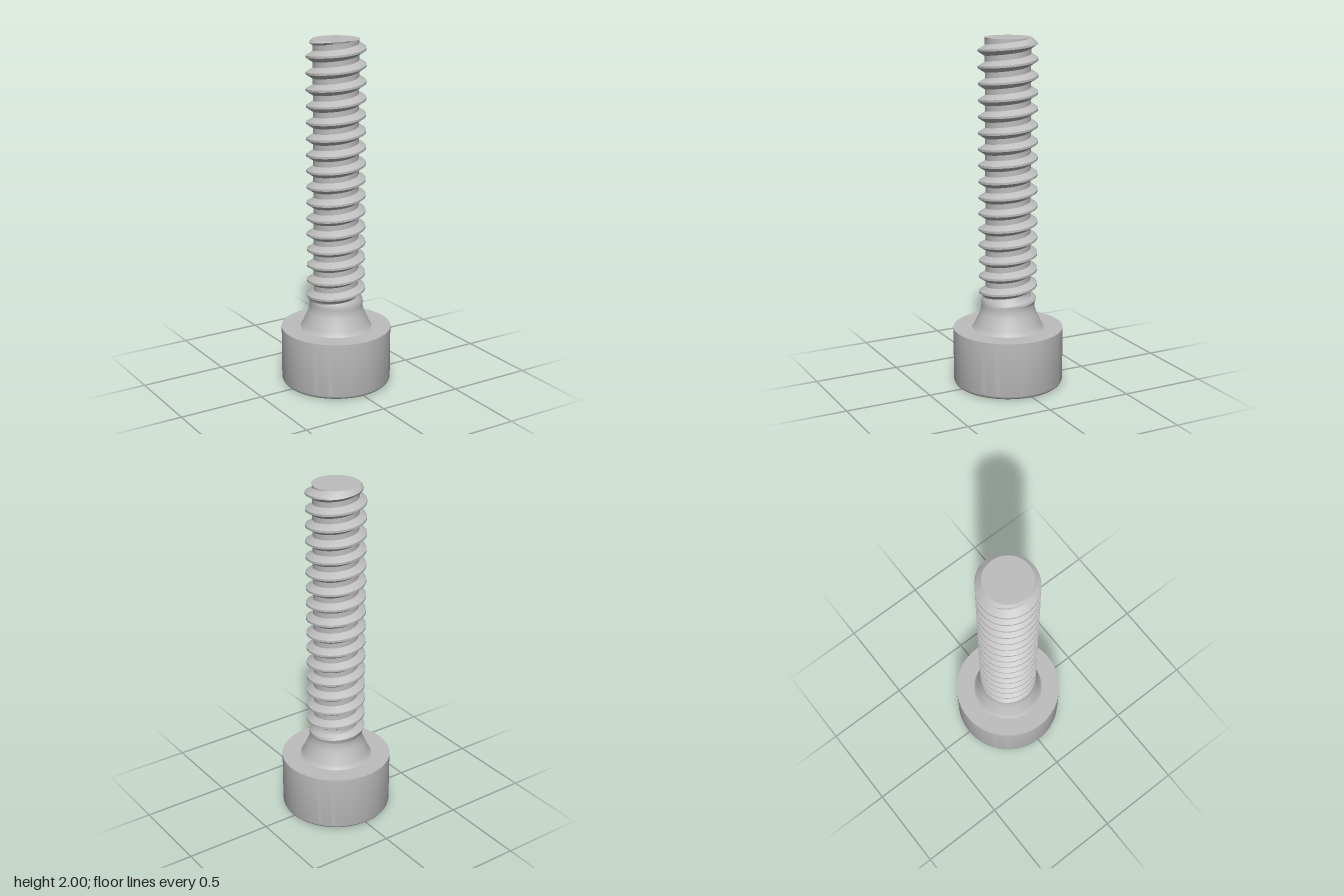
import * as THREE from 'three';
import { toCreasedNormals } from 'three/addons/utils/BufferGeometryUtils.js';

const steel = new THREE.MeshStandardMaterial({ color: 0xbdbdbd });
steel.name = 'steel';

const PITCH = 0.092, CREST = 0.167, ROOT = 0.128;
const THREAD_BOTTOM = 0.48, TOP = 2;
const { clamp, lerp, smoothstep } = THREE.MathUtils;

// Surface swept around the y axis; fn(angle, row) gives [radius, height]
function sweptSurface(fn, segments, rows, crease) {
  const positions = [];
  const point = (i, j) => {
    const a = (i / segments) * Math.PI * 2;
    const [r, y] = fn(a, j);
    return new THREE.Vector3(r * Math.sin(a), y, r * Math.cos(a));
  };
  const triangle = (a, b, c) => {
    const area = b.clone().sub(a).cross(c.clone().sub(a)).length();
    if (area > 1e-9) positions.push(...a.toArray(), ...b.toArray(), ...c.toArray());
  };
  for (let j = 0; j < rows; j++) {
    for (let i = 0; i < segments; i++) {
      const a = point(i, j), b = point(i + 1, j), c = point(i + 1, j + 1), d = point(i, j + 1);
      triangle(a, b, c);
      triangle(a, c, d);
    }
  }
  const geometry = new THREE.BufferGeometry();
  geometry.setAttribute('position', new THREE.Float32BufferAttribute(positions, 3));
  return toCreasedNormals(geometry, crease);
}

// Lathe from [radius, height] pairs, keeping sharp edges
function lathe(points) {
  const geometry = new THREE.LatheGeometry(points.map(p => new THREE.Vector2(...p)), 96);
  return toCreasedNormals(geometry, 0.5);
}

// Right-handed helical thread, fading in at the neck and chamfered at the tip
function threadGeometry() {
  const phases = [0, 0.065, 0.2, 0.335, 0.42, 0.5, 0.58, 0.665, 0.8, 0.935];
  const start = 1.957 - PITCH * 18.25;
  const turns = Math.ceil((TOP - start) / PITCH) + 1;
  const radius = (a, y) => {
    const t = (y - start) / PITCH - a / (Math.PI * 2);
    const d = Math.abs(t - Math.round(t));
    const root = lerp(0.152, ROOT, smoothstep(y, 0.49, 0.55));
    const crest = lerp(0.155, CREST, clamp((y - 0.485) / 0.04, 0, 1));
    const r = lerp(crest, root, clamp((d - 0.065) / 0.27, 0, 1));
    return Math.min(r, 0.132 + (TOP - y));
  };
  const fn = (a, j) => {
    const turn = Math.floor(j / phases.length) - 1 + phases[j % phases.length];
    const y = clamp(start + PITCH * (turn + a / (Math.PI * 2)), THREAD_BOTTOM, TOP);
    return [radius(a, y), y];
  };
  return sweptSurface(fn, 72, (turns + 1) * phases.length, 0.45);
}

// Six-lobed drive outline
const socketRadius = a => 0.122 + 0.021 * Math.cos(6 * a);

export function createModel() {
  const group = new THREE.Group();
  const add = (name, geometry) => {
    const mesh = new THREE.Mesh(geometry, steel);
    mesh.name = name;
    group.add(mesh);
    return mesh;
  };

  // Head: rounded lower edge, sharp upper edge
  const profile = [];
  for (let i = 0; i <= 6; i++) {
    const t = (i / 6) * Math.PI / 2;
    profile.push([0.287 + 0.029 * Math.sin(t), 0.029 - 0.029 * Math.cos(t)]);
  }
  profile.push([0.316, 0.335], [0.19, 0.335]);
  add('head', lathe(profile));

  // Tapered neck between head and thread
  add('neck', lathe([
    [0.208, 0.335], [0.199, 0.345], [0.192, 0.36], [0.163, 0.425],
    [0.156, 0.445], [0.152, 0.465], [0.152, 0.481],
  ]));

  add('thread', threadGeometry());

  // Flat tip
  const tip = add('tip', new THREE.CircleGeometry(0.132, 72).rotateX(-Math.PI / 2));
  tip.position.y = TOP;

  // Underside of the head with the drive opening
  const face = new THREE.Shape().absarc(0, 0, 0.287, 0, Math.PI * 2);
  const outline = [];
  for (let i = 0; i < 120; i++) {
    const a = (i / 120) * Math.PI * 2;
    outline.push(new THREE.Vector2(Math.sin(a), Math.cos(a)).multiplyScalar(socketRadius(a)));
  }
  face.holes.push(new THREE.Path(outline));
  add('headFace', new THREE.ShapeGeometry(face, 96).rotateX(Math.PI / 2));

  // Drive recess: shallow conical floor and lobed wall
  const socket = (a, j) => [[0, 0.2], [socketRadius(a), 0.17], [socketRadius(a), 0]][j];
  add('driveSocket', sweptSurface(socket, 120, 2, 0.5));

  return group;
}
